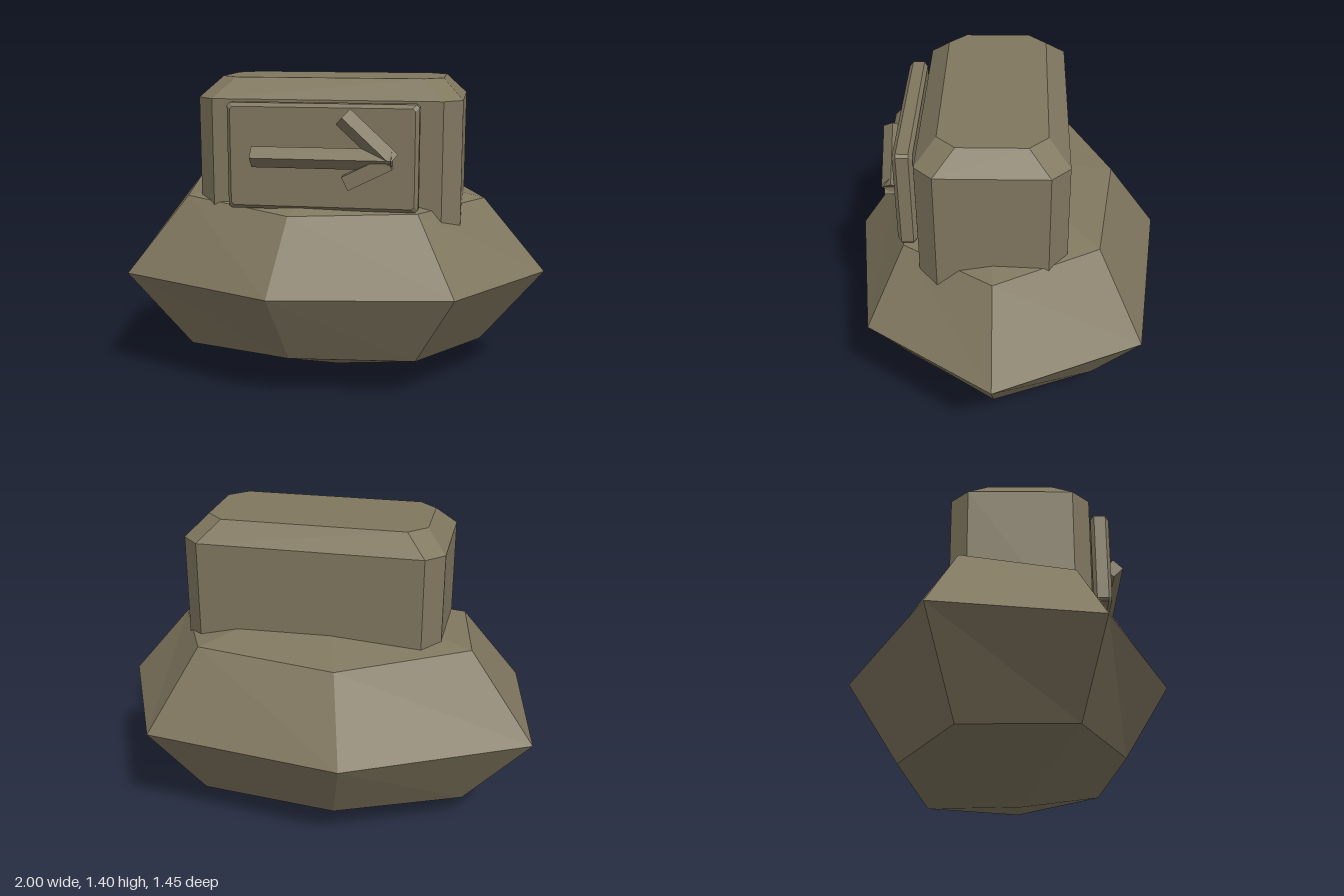
import * as THREE from 'three';
import { ConvexGeometry } from 'three/addons/geometries/ConvexGeometry.js';

const stone = new THREE.MeshStandardMaterial({ color: 0x80775f, flatShading: true });
stone.name = 'stone';

function add(group, name, geometry) {
  const mesh = new THREE.Mesh(geometry, stone);
  mesh.name = name;
  group.add(mesh);
  return mesh;
}

// Corner-cut rectangle with half sizes a, b and cut c
function octagon(a, b, c) {
  return [[a, b - c], [a - c, b], [c - a, b], [-a, b - c],
    [-a, c - b], [c - a, -b], [a - c, -b], [a, c - b]];
}

// Seven-sided boulder: a sphere whose rings are moved onto an uneven outline
function boulderGeometry() {
  const cx = 0.025, cz = 0.05, mid = 0.505;
  // equator x, z and height of the upper ring above the equator
  const outline = [
    [-1, -0.33, 0.385], [-0.895, 0.385, 0.355], [-0.17, 0.72, 0.32], [0.61, 0.605, 0.332],
    [1, 0.045, 0.34], [0.7, -0.6, 0.37], [-0.205, -0.73, 0.355],
  ];
  const geo = new THREE.SphereGeometry(1, 7, 4);
  const pos = geo.attributes.position;
  for (let row = 0; row <= 4; row++) {
    const spread = [0, 0.707, 1, 0.707, 0][row];
    for (let i = 0; i <= 7; i++) {
      const [x, z, rise] = outline[i % 7];
      const y = [0.505, rise, 0, -rise, -0.505][row];
      pos.setXYZ(row * 8 + i, cx + (x - cx) * spread, mid + y, cz + (z - cz) * spread);
    }
  }
  geo.computeVertexNormals();
  return geo;
}

// Upright block with cut corners and a bevelled top
function blockGeometry() {
  const points = [];
  for (const [y, inset] of [[0.6, 0], [1.31, 0], [1.4, 0.09]]) {
    for (const [x, z] of octagon(0.5875 - inset, 0.3175 - inset, 0.08)) {
      points.push(new THREE.Vector3(x + 0.0275, y, z + 0.0475));
    }
  }
  return new ConvexGeometry(points);
}

// Thin sign board, bevelled on both faces
function boardGeometry() {
  const points = [];
  for (const [z, inset] of [[0.38, 0.016], [0.396, 0], [0.449, 0], [0.465, 0.016]]) {
    for (const [x, y] of octagon(0.415 - inset, 0.23 - inset, 0.012)) {
      points.push(new THREE.Vector3(x + 0.025, y + 1.073, z));
    }
  }
  return new ConvexGeometry(points);
}

// Square bar between two points in the plane of the arrow; roll turns an edge to the front
function addBar(group, name, [x0, y0], [x1, y1], roll) {
  const length = Math.hypot(x1 - x0, y1 - y0);
  const geo = new THREE.BoxGeometry(length, 0.064, 0.064);
  geo.rotateX(roll);
  const bar = add(group, name, geo);
  bar.position.set((x0 + x1) / 2, (y0 + y1) / 2, 0.49);
  bar.rotation.z = Math.atan2(y1 - y0, x1 - x0);
}

export function createModel() {
  const model = new THREE.Group();
  model.name = 'rockSign';
  add(model, 'boulder', boulderGeometry());
  add(model, 'block', blockGeometry());
  add(model, 'signBoard', boardGeometry());

  const arrow = new THREE.Group();
  arrow.name = 'arrow';
  addBar(arrow, 'shaft', [-0.275, 1.075], [0.33, 1.075], Math.PI / 4);
  addBar(arrow, 'upperBarb', [0.122, 1.253], [0.325, 1.065], Math.PI / 4);
  addBar(arrow, 'lowerBarb', [0.133, 0.972], [0.32, 1.065], 0);
  model.add(arrow);
  return model;
}
